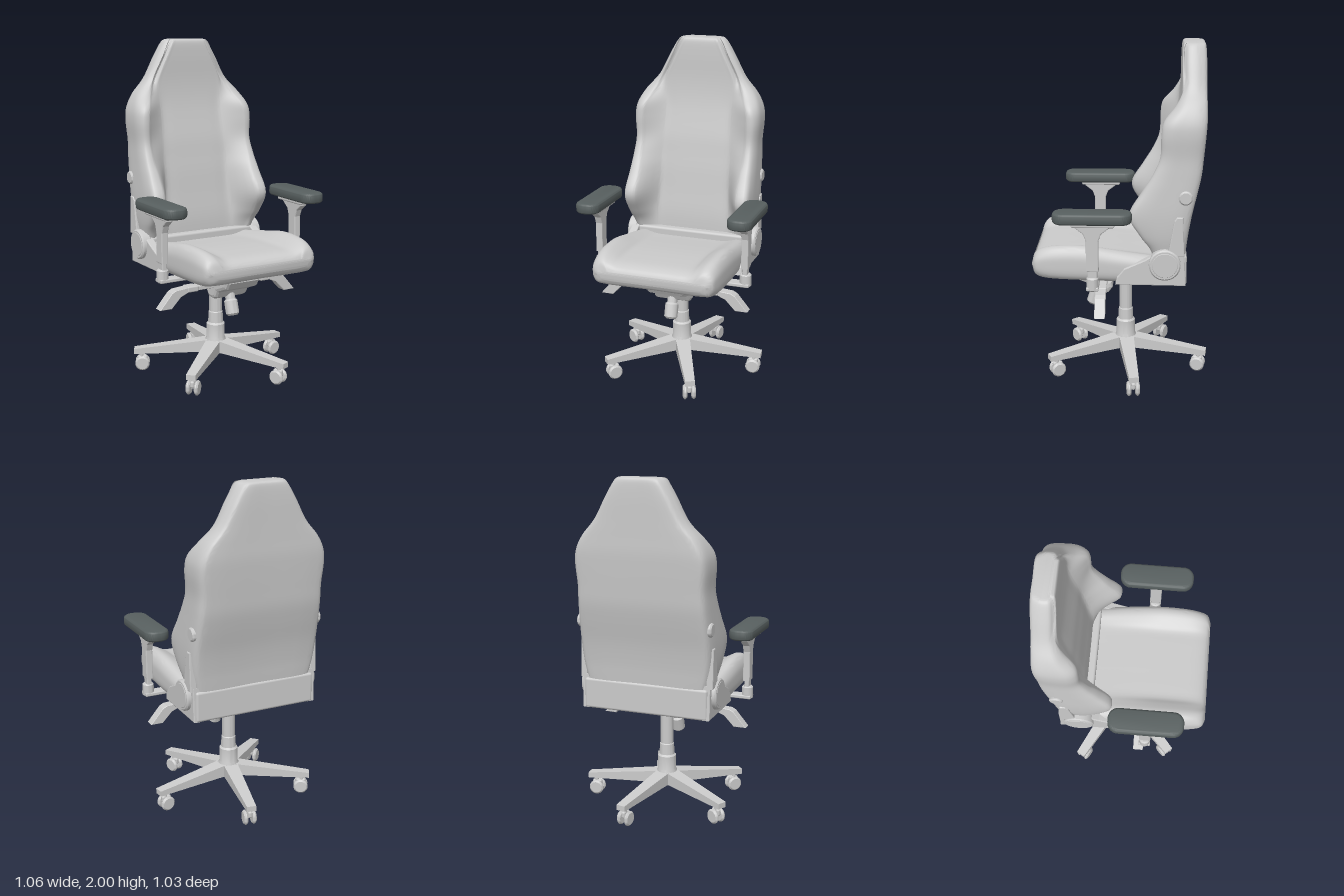
import * as THREE from 'three';
import { toCreasedNormals } from 'three/addons/utils/BufferGeometryUtils.js';
import { RoundedBoxGeometry } from 'three/addons/geometries/RoundedBoxGeometry.js';

const grey = new THREE.MeshStandardMaterial({ color: 0xcbcbcb });
grey.name = 'light grey';
const dark = new THREE.MeshStandardMaterial({ color: 0x586060 });
dark.name = 'dark grey';

function add(parent, name, geo, x = 0, y = 0, z = 0, mat = grey) {
  const mesh = new THREE.Mesh(geo, mat);
  mesh.name = name;
  mesh.position.set(x, y, z);
  parent.add(mesh);
  return mesh;
}

// Smoothly fills in rows of numbers between the given ones
function refine(rows, steps) {
  const out = [];
  const at = i => rows[Math.min(Math.max(i, 0), rows.length - 1)];
  for (let i = 0; i < rows.length - 1; i++) {
    for (let k = 0; k < steps; k++) {
      const t = k / steps, a = at(i - 1), b = at(i), c = at(i + 1), d = at(i + 2);
      out.push(b.map((v, n) => v + 0.5 * t * (c[n] - a[n]
        + t * (2 * a[n] - 5 * v + 4 * c[n] - d[n] + t * (3 * (v - c[n]) + d[n] - a[n])))));
    }
  }
  out.push(at(rows.length - 1));
  return out;
}

// Skins mirrored half sections; section(row) runs from the middle of one face round to the other
function loft(rows, section, place) {
  const n = 80, pos = [], index = [];
  for (const row of rows) {
    const half = section(row);
    const all = half.concat(half.slice(1, -1).reverse().map(([x, v]) => [-x, v]));
    const curve = new THREE.CatmullRomCurve3(all.map(([x, v]) => new THREE.Vector3(x, v, 0)), true);
    for (let j = 0; j < n; j++) {
      const p = curve.getPoint(j / n);
      pos.push(...place(p.x, p.y, row[0]));
    }
  }
  const last = rows.length - 1;
  for (let i = 0; i < last; i++) {
    for (let j = 0; j < n; j++) {
      const a = i * n + j, b = i * n + (j + 1) % n;
      index.push(a, a + n, b, b, a + n, b + n);
    }
  }
  // End caps as strips between mirrored points
  for (let j = 0; j < n / 2; j++) {
    const q = [j, j + 1, (n - j - 1) % n, (n - j) % n];
    const e = q.map(v => v + last * n);
    index.push(q[0], q[1], q[2], q[0], q[2], q[3], e[0], e[2], e[1], e[0], e[3], e[2]);
  }
  const geo = new THREE.BufferGeometry();
  geo.setAttribute('position', new THREE.Float32BufferAttribute(pos, 3));
  geo.setIndex(index);
  return toCreasedNormals(geo, 0.65);
}

const shapeOf = pts => new THREE.Shape(pts.map(p => new THREE.Vector2(...p)));

// Plate with a (z, y) outline, centred on x = 0
function sidePlate(pts, width, bevel = 0.006) {
  const depth = width - 2 * bevel;
  const geo = new THREE.ExtrudeGeometry(shapeOf(pts), {
    depth, bevelSize: bevel, bevelThickness: bevel, bevelOffset: -bevel, bevelSegments: 2 });
  return geo.translate(0, 0, -depth / 2).rotateY(-Math.PI / 2);
}

// Slab with a rounded plan, centred, y up
function pad(w, d, h, r, bevel) {
  const s = new THREE.Shape(), a = w / 2 - bevel, b = d / 2 - bevel;
  s.moveTo(-a + r, -b);
  s.absarc(a - r, -b + r, r, -Math.PI / 2, 0);
  s.absarc(a - r, b - r, r, 0, Math.PI / 2);
  s.absarc(-a + r, b - r, r, Math.PI / 2, Math.PI);
  s.absarc(-a + r, -b + r, r, Math.PI, Math.PI * 1.5);
  const geo = new THREE.ExtrudeGeometry(s, {
    depth: h - 2 * bevel, bevelSize: bevel, bevelThickness: bevel, bevelSegments: 5, curveSegments: 10 });
  return toCreasedNormals(geo.translate(0, 0, bevel - h / 2).rotateX(-Math.PI / 2), 0.7);
}

// Disc with softened rims, axis along y
function disc(r, h, b = 0.008) {
  const pts = [[0, -h / 2], [r - b, -h / 2], [r, b - h / 2], [r, h / 2 - b], [r - b, h / 2], [0, h / 2]];
  return toCreasedNormals(new THREE.LatheGeometry(pts.map(p => new THREE.Vector2(...p)), 32), 0.6);
}

// Tapered bar from x0 to x1; each end is [zMin, zMax, yMin, yMax]
function taper(x0, x1, e0, e1) {
  const geo = new THREE.BoxGeometry(1, 1, 1).toNonIndexed();
  const p = geo.attributes.position;
  for (let i = 0; i < p.count; i++) {
    const e = p.getX(i) < 0 ? e0 : e1;
    p.setXYZ(i, p.getX(i) < 0 ? x0 : x1, p.getY(i) < 0 ? e[2] : e[3], p.getZ(i) < 0 ? e[0] : e[1]);
  }
  geo.computeVertexNormals();
  return geo;
}

function makeBackrest() {
  // y, panel half width, panel z, bolster inner x, outer x, bolster z, half width, back z
  const rows = [
    [2.0, .09, -.365, .10, .11, -.37, .12, -.455],
    [1.985, .10, -.345, .125, .13, -.35, .148, -.47],
    [1.9, .14, -.34, .165, .18, -.345, .20, -.475],
    [1.77, .20, -.34, .23, .255, -.345, .27, -.475],
    [1.68, .21, -.335, .27, .32, -.305, .345, -.475],
    [1.6, .21, -.325, .31, .36, -.24, .385, -.475],
    [1.52, .21, -.31, .32, .375, -.225, .395, -.47],
    [1.4, .215, -.285, .32, .37, -.22, .387, -.46],
    [1.3, .22, -.27, .32, .375, -.18, .39, -.45],
    [1.2, .22, -.255, .315, .38, -.12, .395, -.43],
    [1.07, .225, -.24, .32, .39, -.05, .40, -.40],
    [.95, .23, -.225, .325, .385, -.11, .395, -.38],
    [.86, .23, -.22, .32, .365, -.17, .38, -.37],
    [.72, .23, -.22, .29, .33, -.215, .35, -.355]];
  return loft(refine(rows, 5), ([, c, zc, xi, xo, zb, w, back]) => [
    [0, zc], [c * .6, zc], [c - .012, zc], [c + .008, zc + (zb - zc) * .1],
    [xi - .006, zb - .012], [xi + .012, zb], [xo - .008, zb - .004], [w - .004, zb - (zb - back) * .18],
    [w, (zb + back) / 2], [w - .008, back + .035], [w - .025, back + .008], [w - .05, back], [0, back]],
  (x, z, y) => [x, y, z]);
}

function makeSeat() {
  // z, half width, middle top, bolster top, underside
  const rows = [
    [-.32, .35, .78, .79, .662], [-.1, .372, .80, .825, .664], [.05, .38, .815, .85, .668],
    [.2, .383, .825, .874, .674], [.35, .38, .826, .874, .678], [.44, .372, .82, .858, .684],
    [.49, .358, .80, .828, .70], [.51, .32, .765, .78, .73]];
  return loft(refine(rows, 5), ([, w, yc, yb, lo]) => [
    [0, yc], [.14, yc], [.22, yc + .002], [.26, yc + (yb - yc) * .5], [w - .065, yb], [w - .03, yb - .008],
    [w - .005, yb - (yb - lo) * .25], [w, (yb + lo) / 2], [w - .005, lo + .035],
    [w - .025, lo + .007], [w - .06, lo], [0, lo]],
  (x, y, z) => [x, y, z]);
}

function makeSide(s) {
  const side = new THREE.Group();
  side.name = s > 0 ? 'leftSide' : 'rightSide';
  // Recliner hinge
  add(side, 'hingeCover', sidePlate([[-.37, .66], [.03, .665], [.02, .71], [-.02, .76], [-.13, .81], [-.22, .86], [-.36, .86]], .05), s * .365);
  add(side, 'hingeDisc', disc(.09, .06), s * .385, .79, -.25).rotation.z = Math.PI / 2;
  add(side, 'hingeCap', disc(.075, .02, .005), s * .407, .79, -.25).rotation.z = Math.PI / 2;
  add(side, 'hingeUpright', sidePlate([[-.265, .84], [-.30, 1.05], [-.315, 1.07], [-.35, 1.07], [-.36, .84]], .04), s * .385);
  add(side, 'backKnob', disc(.04, .06), s * .375, 1.18, -.362).rotation.z = Math.PI / 2;
  // Armrest
  add(side, 'armPad', pad(.145, .44, .062, .045, .018), s * .457, 1.086, .155, dark);
  add(side, 'armPadPlate', new RoundedBoxGeometry(.09, .03, .24, 2, .008), s * .455, 1.05, .15);
  add(side, 'armBracket', sidePlate([[.25, 1.045], [.25, 1.025], [.205, .99], [.19, .95], [.19, .77], [.12, .77], [.12, .95], [.105, .99], [.06, 1.025], [.06, 1.045]], .042), s * .452);
  add(side, 'armPost', new RoundedBoxGeometry(.03, .14, .055, 2, .008), s * .452, .73, .155);
  add(side, 'armSocket', disc(.034, .08), s * .452, .695, .155);
  add(side, 'armBar', new RoundedBoxGeometry(.38, .022, .07, 2, .006), s * .29, .668, .155);
  // Control lever
  const lever = [[.09, .575], [.27, .575], [.33, .55], [.39, .488], [.46, .488], [.385, .575], [.36, .588], [.28, .595], [.09, .595]];
  const bar = new THREE.ExtrudeGeometry(shapeOf(lever.map(([x, y]) => [s * x, y])), {
    depth: .055, bevelSize: .003, bevelThickness: .003, bevelSegments: 1 });
  add(side, 'lever', bar, 0, 0, .09);
  add(side, 'leverSleeve', new RoundedBoxGeometry(.07, .035, .07, 2, .008), s * .25, .585, .118);
  return side;
}

function makeBase() {
  const base = new THREE.Group();
  base.name = 'base';
  base.position.z = -.02;
  // Stepped column and hub
  const column = [[0, .11], [.05, .11], [.068, .13], [.068, .185], [.056, .21], [.056, .295], [.046, .305],
    [.043, .37], [.039, .375], [.039, .66], [0, .66]].map(p => new THREE.Vector2(...p));
  add(base, 'column', toCreasedNormals(new THREE.LatheGeometry(column, 36), 0.5));
  for (let i = 0; i < 5; i++) {
    const leg = new THREE.Group();
    leg.name = 'leg' + (i + 1);
    leg.rotation.y = THREE.MathUtils.degToRad(79 - 72 * i);
    // Channel-shaped spoke, open below
    add(leg, 'spokeTop', taper(.03, .5, [-.045, .045, .18, .2], [-.028, .028, .122, .138]));
    for (const s of [-1, 1]) {
      const ends = [[.033, .045, .125, .19], [.018, .028, .106, .13]].map(([a, b, c, d]) => s > 0 ? [a, b, c, d] : [-b, -a, c, d]);
      add(leg, 'spokeWall', taper(.03, .5, ...ends));
      add(leg, 'wheel', disc(.044, .024, .009), .45, .046, s * .025).rotation.x = Math.PI / 2;
    }
    add(leg, 'spokeTip', new THREE.BoxGeometry(.05, .028, .054), .475, .12, 0);
    add(leg, 'casterStem', new THREE.CylinderGeometry(.012, .012, .09, 16), .455, .09, 0);
    add(leg, 'casterHood', new RoundedBoxGeometry(.06, .04, .026, 2, .01), .45, .07, 0);
    base.add(leg);
  }
  return base;
}

export function createModel() {
  const chair = new THREE.Group();
  chair.name = 'deskChair';
  add(chair, 'backrest', makeBackrest());
  add(chair, 'seat', makeSeat());
  add(chair, 'rearFrame', new RoundedBoxGeometry(.75, .18, .2, 3, .015), 0, .748, -.275);
  // Tilt mechanism under the seat
  add(chair, 'mechanismPlate', new RoundedBoxGeometry(.34, .03, .4, 2, .008), 0, .658, .05);
  add(chair, 'mechanism', sidePlate([[.30, .665], [.305, .63], [.28, .59], [.18, .55], [.16, .515], [.13, .5], [.08, .505],
    [.055, .54], [.06, .575], [.10, .60], [.14, .665]], .225, .02));
  add(chair, 'columnMount', new RoundedBoxGeometry(.13, .05, .15, 2, .012), 0, .645, -.02);
  add(chair, 'tensionKnob', disc(.04, .1, .012), 0, .445, .168).rotation.x = -.3;
  add(chair, 'tensionStem', disc(.03, .07), 0, .51, .148).rotation.x = -.3;
  for (const s of [-1, 1]) chair.add(makeSide(s));
  chair.add(makeBase());
  return chair;
}
